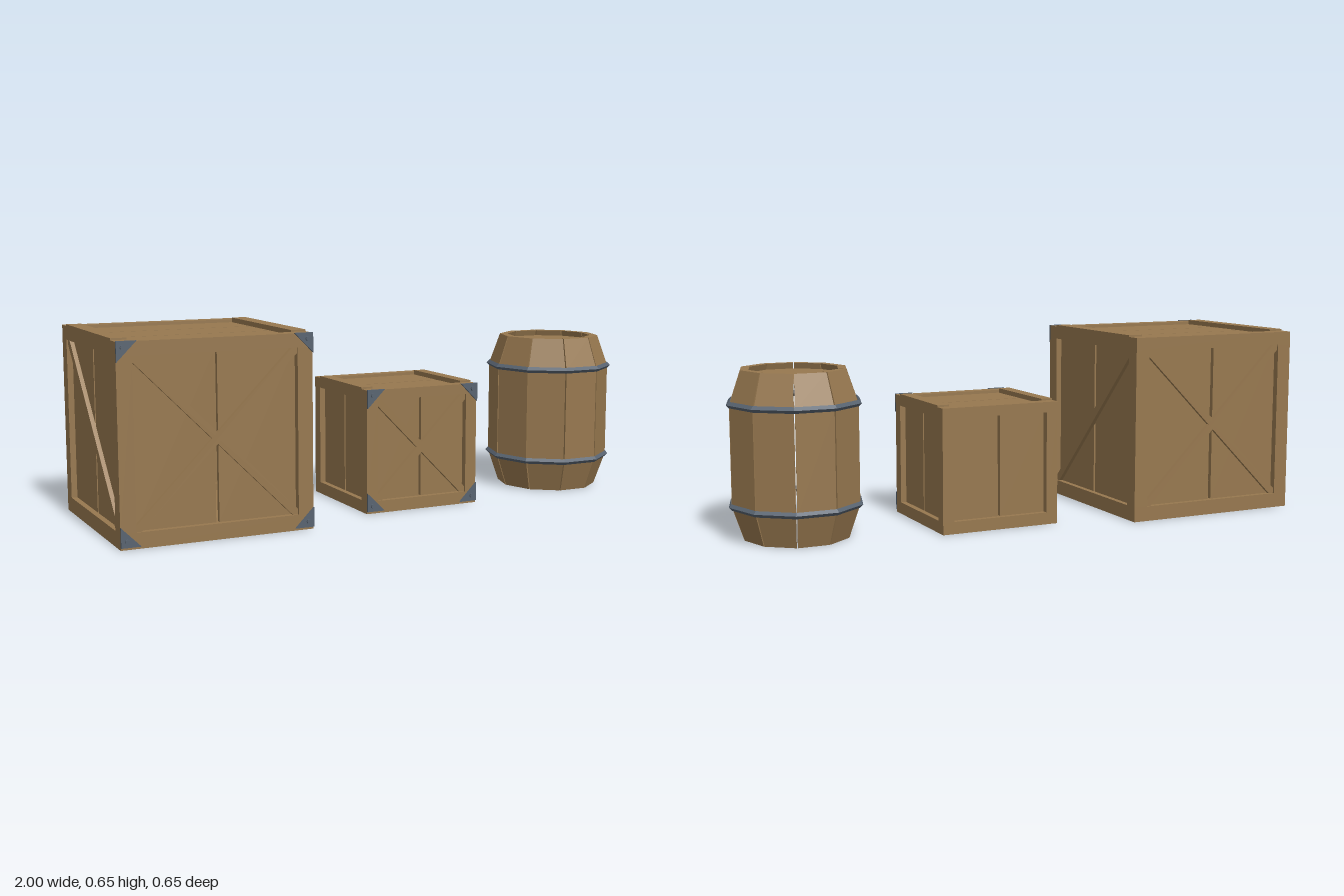
import * as THREE from 'three';

const wood = new THREE.MeshStandardMaterial({ color: 0x97784f });
wood.name = 'wood';
const metal = new THREE.MeshStandardMaterial({ color: 0x586370 });
metal.name = 'ironGrey';

function add(parent, name, geo, mat, x = 0, y = 0, z = 0) {
  const m = new THREE.Mesh(geo, mat);
  m.name = name;
  m.position.set(x, y, z);
  parent.add(m);
  return m;
}
const box = (parent, name, w, h, d, x, y, z) =>
  add(parent, name, new THREE.BoxGeometry(w, h, d), wood, x, y, z);

function flat(geo) {
  const g = geo.toNonIndexed();
  g.computeVertexNormals();
  return g;
}

// Row of planks side by side, upright in the xy plane
function planks(parent, name, w, h, n, gap) {
  const g = new THREE.Group();
  g.name = name;
  const pw = (w - gap * (n - 1)) / n;
  for (let i = 0; i < n; i++) {
    box(g, 'plank', pw, h, 0.015, -w / 2 + pw / 2 + i * (pw + gap), 0, 0);
  }
  parent.add(g);
  return g;
}

// Diagonal brace across a w by h opening
function brace(parent, w, h, dir, z) {
  const b = box(parent, 'brace', Math.hypot(w, h), 0.026, 0.016, 0, 0, z);
  b.rotation.z = dir * Math.atan2(h, w);
}

// Triangular corner plate with a bolt; the right angle is at the origin
function bracket(parent, leg, x, y, z, sx, sy) {
  const g = new THREE.Group();
  g.name = 'cornerBracket';
  const s = new THREE.Shape([[0, 0], [leg, 0], [0, leg]].map(([a, b]) => new THREE.Vector2(a * sx, b * sy)));
  add(g, 'plate', new THREE.ExtrudeGeometry(s, { depth: 0.007, bevelEnabled: false }), metal);
  const bolt = add(g, 'bolt', flat(new THREE.CylinderGeometry(0.008, 0.008, 0.008, 8)), metal,
    sx * leg * 0.3, sy * leg * 0.3, 0.01);
  bolt.rotation.x = Math.PI / 2;
  g.position.set(x, y, z);
  parent.add(g);
}

function crate({ name, w, h, d, t, gap, topPlanks, braced }) {
  const c = new THREE.Group();
  c.name = name;
  const lip = 0.006, iw = w - 2 * t, ih = h - 2 * t, id = d - 2 * t;

  // Frame
  for (const s of [-1, 1]) {
    const z = s * (d - t) / 2, x = s * (w - t) / 2;
    box(c, 'crossBeam', w, t, t, 0, t / 2, z);
    box(c, 'crossBeam', w, t - lip, t, 0, h - t / 2 - lip / 2, z);
    box(c, 'sideBeam', t, t, id, x, t / 2, 0);
    box(c, 'sideBeam', t, t, id, x, h - t / 2, 0);
    for (const q of [-1, 1]) box(c, 'post', t, ih, t, x, h / 2, q * (d - t) / 2);
  }

  // Four walls, turned about the upright axis
  const inset = 0.027;
  for (let i = 0; i < 4; i++) {
    const wall = new THREE.Group();
    wall.name = ['frontWall', 'rightWall', 'backWall', 'leftWall'][i];
    const pw = i % 2 ? id : iw, depth = i % 2 ? w : d;
    planks(wall, 'wallPlanks', pw - 0.004, ih, 2, gap);
    if (i === 0 || (braced && i === 2)) {
      brace(wall, pw, ih, 1, 0.0135);
      brace(wall, pw, ih, -1, 0.0125);
    } else if (braced) {
      brace(wall, pw, ih, i === 1 ? 1 : -1, 0.0135);
    }
    wall.rotation.y = i * Math.PI / 2;
    const a = wall.rotation.y, r = depth / 2 - inset;
    wall.position.set(Math.sin(a) * r, h / 2, Math.cos(a) * r);
    c.add(wall);
  }

  // Top planks run along x, bottom is one board
  const top = planks(c, 'topPlanks', id, iw, topPlanks, 0.006);
  top.rotation.set(-Math.PI / 2, 0, Math.PI / 2);
  top.position.y = h - 0.024;
  box(c, 'bottomBoard', iw - 0.006, 0.015, id - 0.006, 0, 0.022, 0);

  // Iron corners on the front
  for (const sx of [-1, 1]) for (const sy of [-1, 1]) {
    bracket(c, 0.065, sx * w / 2, sy > 0 ? h - 0.004 : 0.008, d / 2, -sx, -sy);
  }
  return c;
}

function barrel() {
  const b = new THREE.Group();
  b.name = 'barrel';
  const H = 0.565, sides = 10, step = Math.PI * 2 / sides;
  const ys = [0, 0.115, 0.453, H], rs = [0.189, 0.23, 0.23, 0.189];

  // Staves: a box bent outwards between the hoops
  for (let k = 0; k < sides; k++) {
    const g = new THREE.BoxGeometry(1, 1, 1, 1, 3, 1);
    const p = g.attributes.position;
    for (let i = 0; i < p.count; i++) {
      const row = Math.round((p.getY(i) + 0.5) * 3);
      const a = k * step + p.getX(i) * (step - 0.02);
      const r = rs[row] - (p.getZ(i) < 0 ? 0.03 : 0);
      p.setXYZ(i, Math.sin(a) * r, ys[row], Math.cos(a) * r);
    }
    add(b, 'stave', flat(g), wood);
  }

  // Recessed lid, open underneath
  const lid = add(b, 'lid', flat(new THREE.CylinderGeometry(0.164, 0.168, 0.015, sides)), wood, 0, 0.538, 0);
  lid.rotation.y = Math.PI / 2;

  // Hoops
  for (const y of [ys[1], ys[2]]) {
    const hoop = add(b, 'hoop', flat(new THREE.TorusGeometry(0.23, 0.011, 4, sides)), metal, 0, y, 0);
    hoop.rotation.x = Math.PI / 2;
  }
  b.scale.x = 0.95;
  return b;
}

export function createModel() {
  const model = new THREE.Group();
  model.name = 'cratesAndBarrel';

  const large = crate({ name: 'largeCrate', w: 0.65, h: 0.652, d: 0.637, t: 0.052, gap: 0.011, topPlanks: 3, braced: true });
  large.position.set(-0.675, 0, -0.006);
  const small = crate({ name: 'smallCrate', w: 0.432, h: 0.435, d: 0.424, t: 0.042, gap: 0.008, topPlanks: 2, braced: false });
  small.position.set(0.115, 0, -0.005);
  const cask = barrel();
  cask.position.set(0.771, 0, 0);

  model.add(large, small, cask);
  return model;
}
